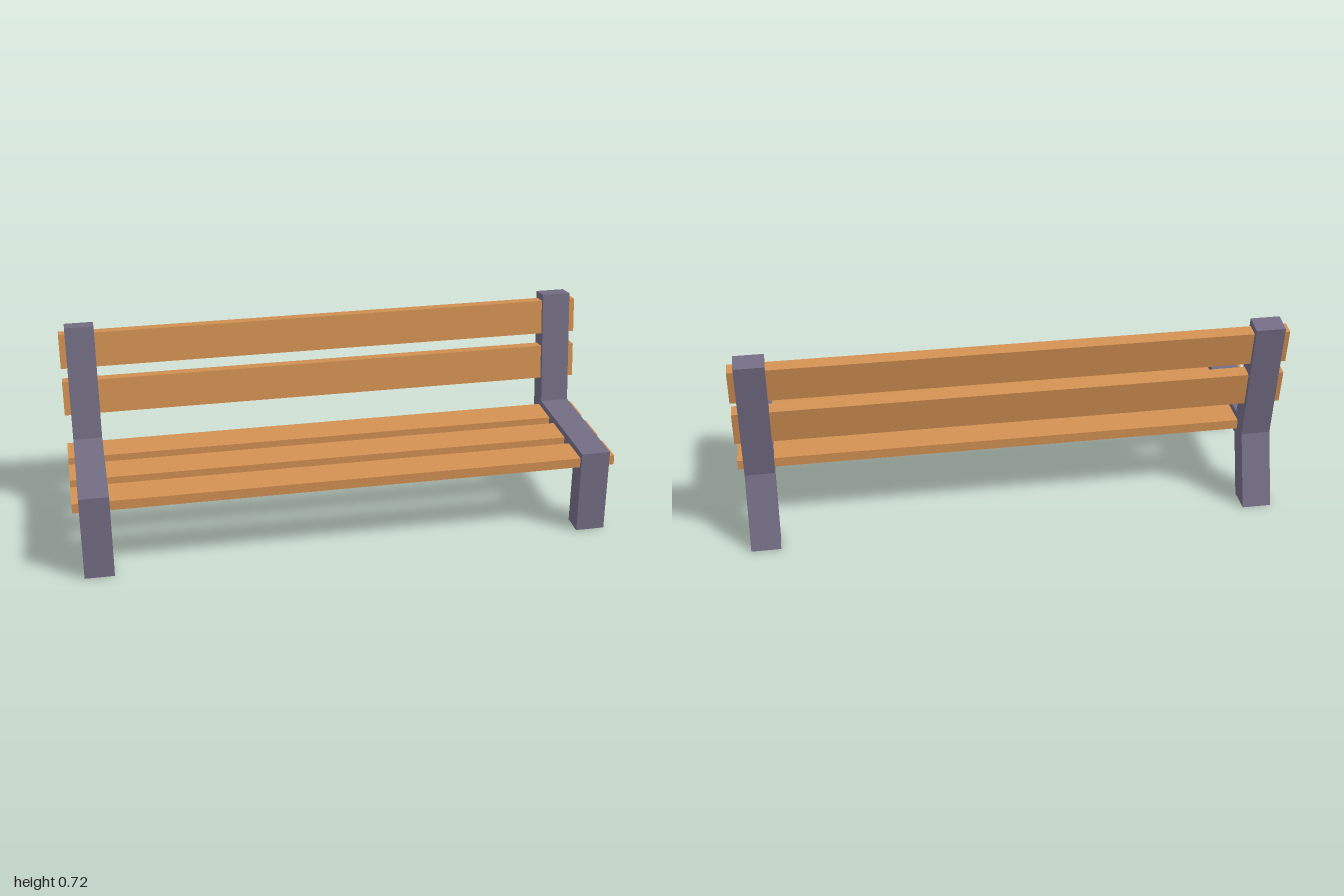
import * as THREE from 'three';

const wood = new THREE.MeshStandardMaterial({ color: 0xd39152 });
wood.name = 'wood';
const iron = new THREE.MeshStandardMaterial({ color: 0x746d84 });
iron.name = 'frame grey';

const SLAT_LENGTH = 1.926;
const FRAME_WIDTH = 0.104;

// Side frame: front leg, seat rail, leaning back post and splayed rear leg in one outline (z, y)
function frameGeometry() {
  const outline = [
    [0.316, 0], [0.316, 0.309], [-0.149, 0.309], [-0.207, 0.721], [-0.281, 0.71],
    [-0.228, 0.261], [-0.316, 0], [-0.222, 0], [-0.149, 0.223], [0.233, 0.223], [0.233, 0],
  ];
  const shape = new THREE.Shape(outline.map(([z, y]) => new THREE.Vector2(z, y)));
  const geometry = new THREE.ExtrudeGeometry(shape, { depth: FRAME_WIDTH, bevelEnabled: false });
  geometry.translate(0, 0, -FRAME_WIDTH / 2);
  geometry.rotateY(-Math.PI / 2);
  return geometry;
}

export function createModel() {
  const bench = new THREE.Group();
  bench.name = 'bench';

  const addSlat = (name, height, depth, y, z, tilt = 0) => {
    const slat = new THREE.Mesh(new THREE.BoxGeometry(SLAT_LENGTH, height, depth), wood);
    slat.name = name;
    slat.position.set(0, y, z);
    slat.rotation.x = tilt;
    bench.add(slat);
  };

  // Two matching side frames
  const geometry = frameGeometry();
  for (const [name, side] of [['leftFrame', 1], ['rightFrame', -1]]) {
    const frame = new THREE.Mesh(geometry, iron);
    frame.name = name;
    frame.position.x = side * 0.888;
    bench.add(frame);
  }

  // Seat slats run through the rails
  for (let i = 0; i < 3; i++) addSlat(`seatSlat${i + 1}`, 0.035, 0.125, 0.269, 0.24 - i * 0.1745);

  // Backrest slats lean with the posts
  const lean = THREE.MathUtils.degToRad(-7.3);
  addSlat('lowerBackSlat', 0.126, 0.049, 0.455, -0.209, lean);
  addSlat('upperBackSlat', 0.126, 0.049, 0.629, -0.231, lean);

  // The whole bench stands slightly turned
  bench.rotation.y = THREE.MathUtils.degToRad(-10.5);
  const model = new THREE.Group();
  model.name = 'parkBench';
  model.add(bench);
  return model;
}
